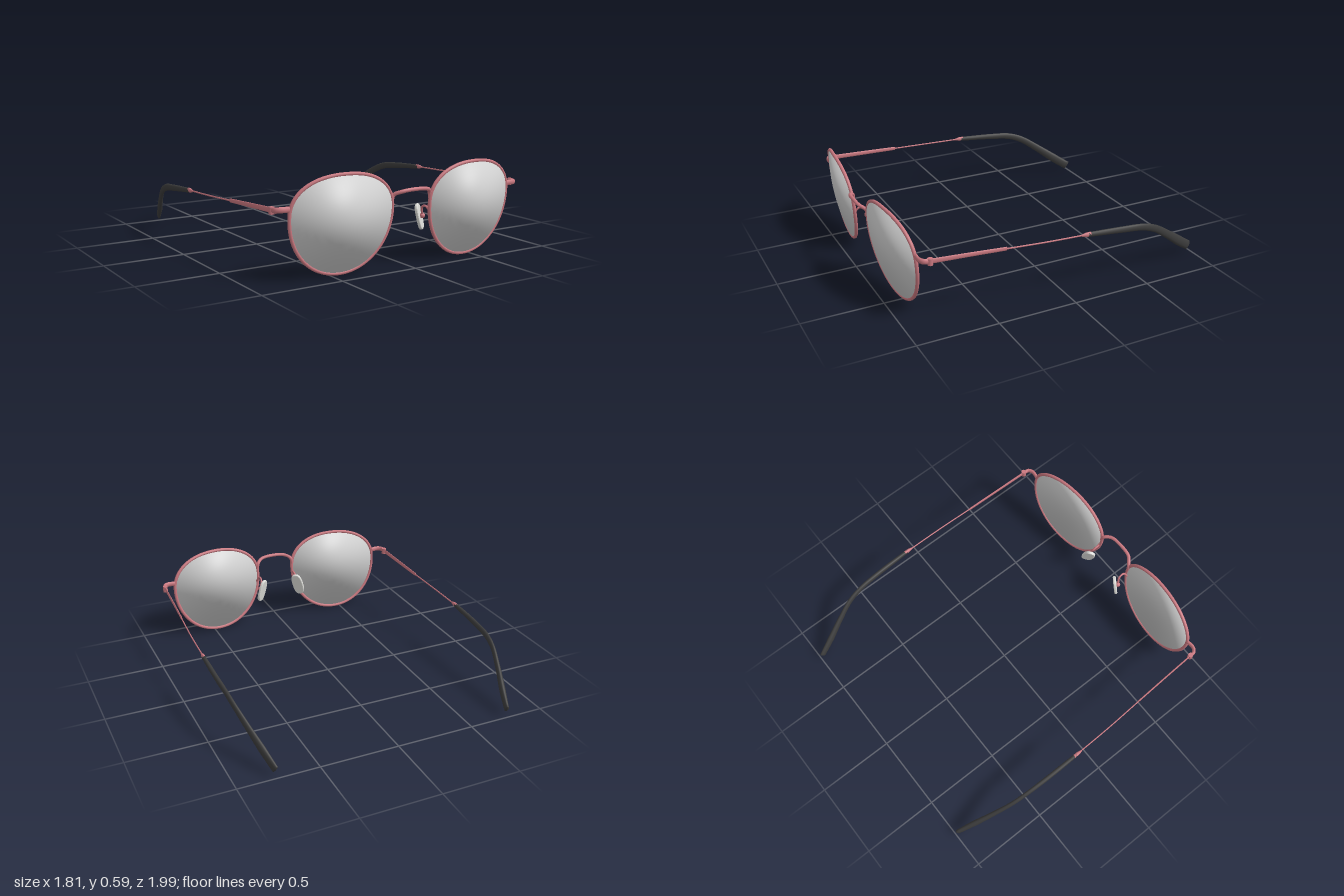
import * as THREE from 'three';

const mat = (name, color) => {
  const m = new THREE.MeshStandardMaterial({ color });
  m.name = name;
  return m;
};
const vec = (p, s = 1) => new THREE.Vector3(p[0] * s, p[1], p[2]);
const curveOf = (pts, s = 1, closed = false) =>
  new THREE.CatmullRomCurve3(pts.map((p) => vec(p, s)), closed, 'centripetal');

// Lens outline: flat-topped round shape about (CX, CY)
const CX = 0.453, CY = 0.36, A = 0.319, TOP = 0.222, BOTTOM = 0.349;
function outline(a) {
  const c = Math.cos(a), s = Math.sin(a);
  const e = s > 0 ? 2 / 2.25 : 2 / 2.05;
  return [
    Math.sign(c) * Math.abs(c) ** e * A,
    Math.sign(s) * Math.abs(s) ** e * (s > 0 ? TOP : BOTTOM),
  ];
}
// Curved, tilted and wrapped surface that the front follows (x is unsigned)
function faceZ(x, y) {
  const dx = x - 0.455, dy = y - 0.3;
  return 0.955 + 0.12 * dy - 0.085 * dx - 0.4 * (dx * dx + dy * dy);
}

// Domed lens with a front and a back face and soft rounded normals
function lensGeometry(s) {
  const pos = [], nor = [], idx = [], rings = 8, seg = 64;
  for (const f of [1, -1]) {
    const base = pos.length / 3;
    for (let i = 0; i <= rings; i++) {
      const t = i / rings;
      for (let j = 0; j <= seg; j++) {
        const [ox, oy] = outline((j / seg) * Math.PI * 2);
        const x = s * CX + ox * t, y = CY + oy * t;
        pos.push(x, y, faceZ(s * x, y) + f * 0.006);
        const n = new THREE.Vector3((ox * t * 1.3) / A, (oy * t * 1.3) / 0.29 + 0.1, f).normalize();
        nor.push(n.x, n.y, n.z);
        if (i === rings || j === seg) continue;
        const a = base + i * (seg + 1) + j, b = a + seg + 1;
        if (f > 0) idx.push(a, b, b + 1, a, b + 1, a + 1);
        else idx.push(a, b + 1, b, a, a + 1, b + 1);
      }
    }
  }
  const g = new THREE.BufferGeometry();
  g.setAttribute('position', new THREE.Float32BufferAttribute(pos, 3));
  g.setAttribute('normal', new THREE.Float32BufferAttribute(nor, 3));
  g.setIndex(idx);
  return g;
}

// Oval section swept along a path; sizes = [half width, half height] spread along it
function sweep(path, sizes, steps = 32, seg = 12) {
  const pos = [], idx = [], Y = new THREE.Vector3(0, 1, 0);
  const rows = [[0, 0]];
  for (let i = 0; i <= steps; i++) rows.push([i / steps, 1]);
  rows.push([1, 0]);
  rows.splice(1, 0, [0, 0.7]);
  rows.splice(rows.length - 1, 0, [1, 0.7]);
  rows.forEach(([t, k], r) => {
    const c = path.getPointAt(t), T = path.getTangentAt(t);
    const S = new THREE.Vector3().crossVectors(Y, T).normalize();
    const U = new THREE.Vector3().crossVectors(T, S);
    const q = t * (sizes.length - 1), n = Math.min(Math.floor(q), sizes.length - 2), f = q - n;
    const w = THREE.MathUtils.lerp(sizes[n][0], sizes[n + 1][0], f) * k;
    const h = THREE.MathUtils.lerp(sizes[n][1], sizes[n + 1][1], f) * k;
    // push the cap centre out a little so the ends are rounded
    c.addScaledVector(T, (t < 0.5 ? -1 : 1) * (1 - k) * Math.min(sizes[n][0], 0.006));
    for (let j = 0; j < seg; j++) {
      const a = (j / seg) * Math.PI * 2;
      const p = c.clone().addScaledVector(S, w * Math.cos(a)).addScaledVector(U, h * Math.sin(a));
      pos.push(p.x, p.y, p.z);
      if (r === rows.length - 1) continue;
      const i0 = r * seg + j, i1 = r * seg + ((j + 1) % seg);
      idx.push(i0, i1, i0 + seg, i1, i1 + seg, i0 + seg);
    }
  });
  const g = new THREE.BufferGeometry();
  g.setAttribute('position', new THREE.Float32BufferAttribute(pos, 3));
  g.setIndex(idx);
  g.computeVertexNormals();
  return g;
}

// Rounded, softly bevelled nose pad, facing the nose and the wearer
function padGeometry(s) {
  const pts = [];
  for (let i = 0; i < 32; i++) {
    const a = (i / 32) * Math.PI * 2, c = Math.cos(a), n = Math.sin(a);
    pts.push(new THREE.Vector2(
      Math.sign(c) * Math.abs(c) ** 0.75 * 0.033,
      Math.sign(n) * Math.abs(n) ** 0.75 * 0.074));
  }
  const g = new THREE.ExtrudeGeometry(new THREE.Shape(pts), {
    depth: 0.008, bevelSize: 0.007, bevelThickness: 0.006, bevelSegments: 3,
  });
  g.translate(0, 0, -0.004);
  const v = new THREE.Vector3(-0.28 * s, 1, 0).normalize();
  const n = new THREE.Vector3(0.8 * s, 0, -0.6).cross(v).normalize();
  const u = new THREE.Vector3().crossVectors(v, n);
  g.applyMatrix4(new THREE.Matrix4().makeBasis(u, v, n).setPosition(0.14 * s, 0.26, 0.845));
  return g;
}

export function createModel() {
  const model = new THREE.Group();
  model.name = 'glasses';
  const metal = mat('rose metal', 0xc9777f);
  const lens = mat('grey lens', 0xd0d0d0);
  const pad = mat('clear pad', 0xdcdcd8);
  const rubber = mat('dark tip', 0x3c3c3c);
  const add = (parent, name, geo, material) => {
    const m = new THREE.Mesh(geo, material);
    m.name = name;
    parent.add(m);
    return m;
  };

  // Arched bridge
  const half = [[0.137, 0.39, 0.945], [0.127, 0.432, 0.95], [0.085, 0.453, 0.98]];
  const arch = [...half, [0, 0.46, 0.988], ...half.map(([x, y, z]) => [-x, y, z]).reverse()];
  add(model, 'bridge', new THREE.TubeGeometry(curveOf(arch), 48, 0.0115, 10), metal);

  for (const s of [1, -1]) {
    const side = new THREE.Group();
    side.name = s > 0 ? 'leftSide' : 'rightSide';
    model.add(side);

    // Lens and its rim
    add(side, 'lens', lensGeometry(s), lens);
    const rim = [];
    for (let i = 0; i < 48; i++) {
      const [ox, oy] = outline((i / 48) * Math.PI * 2);
      const x = s * CX + ox, y = CY + oy;
      rim.push([x, y, faceZ(s * x, y)]);
    }
    add(side, 'rim', new THREE.TubeGeometry(curveOf(rim, 1, true), 96, 0.011, 10, true), metal);

    // Nose pad on its bent arm
    const arm = [[0.148, 0.3, 0.94], [0.132, 0.335, 0.915], [0.133, 0.325, 0.88], [0.148, 0.27, 0.862]];
    add(side, 'padArm', new THREE.TubeGeometry(curveOf(arm, s), 24, 0.007, 8), metal);
    add(side, 'padMount', new THREE.SphereGeometry(0.017, 14, 10), metal)
      .position.set(0.15 * s, 0.268, 0.86);
    add(side, 'nosePad', padGeometry(s), pad);

    // End piece and hinge
    const end = [[0.772, 0.41, 0.895], [0.82, 0.412, 0.897], [0.848, 0.41, 0.88], [0.852, 0.407, 0.84]];
    add(side, 'endPiece', sweep(curveOf(end, s), [[0.011, 0.017], [0.011, 0.017]]), metal);
    add(side, 'hinge', new THREE.CylinderGeometry(0.016, 0.016, 0.04, 16), metal)
      .position.set(0.853 * s, 0.405, 0.845);

    // Temple: flat bar, thin wire, ferrule
    const bar = curveOf([[0.853, 0.407, 0.85], [0.862, 0.397, 0.62], [0.872, 0.386, 0.39]], s);
    add(side, 'templeBar', sweep(bar, [[0.005, 0.016], [0.005, 0.012]]), metal);
    const wire = curveOf([[0.872, 0.386, 0.4], [0.884, 0.374, 0.13], [0.889, 0.365, -0.12]], s);
    add(side, 'templeWire', sweep(wire, [[0.004, 0.005], [0.004, 0.005]]), metal);
    const ferrule = curveOf([[0.889, 0.366, -0.09], [0.89, 0.364, -0.15]], s);
    add(side, 'ferrule', sweep(ferrule, [[0.005, 0.006], [0.011, 0.014], [0.012, 0.015]], 8), metal);

    // Bent ear tip
    const tip = curveOf([
      [0.89, 0.364, -0.135], [0.888, 0.342, -0.38], [0.881, 0.322, -0.53], [0.868, 0.285, -0.63],
      [0.835, 0.206, -0.75], [0.79, 0.105, -0.89], [0.763, 0.046, -0.978],
    ], s);
    add(side, 'earTip', sweep(tip, [
      [0.012, 0.015], [0.014, 0.018], [0.014, 0.021], [0.013, 0.023], [0.013, 0.024],
      [0.015, 0.027], [0.018, 0.032], [0.013, 0.031],
    ], 48), rubber);
  }
  return model;
}
